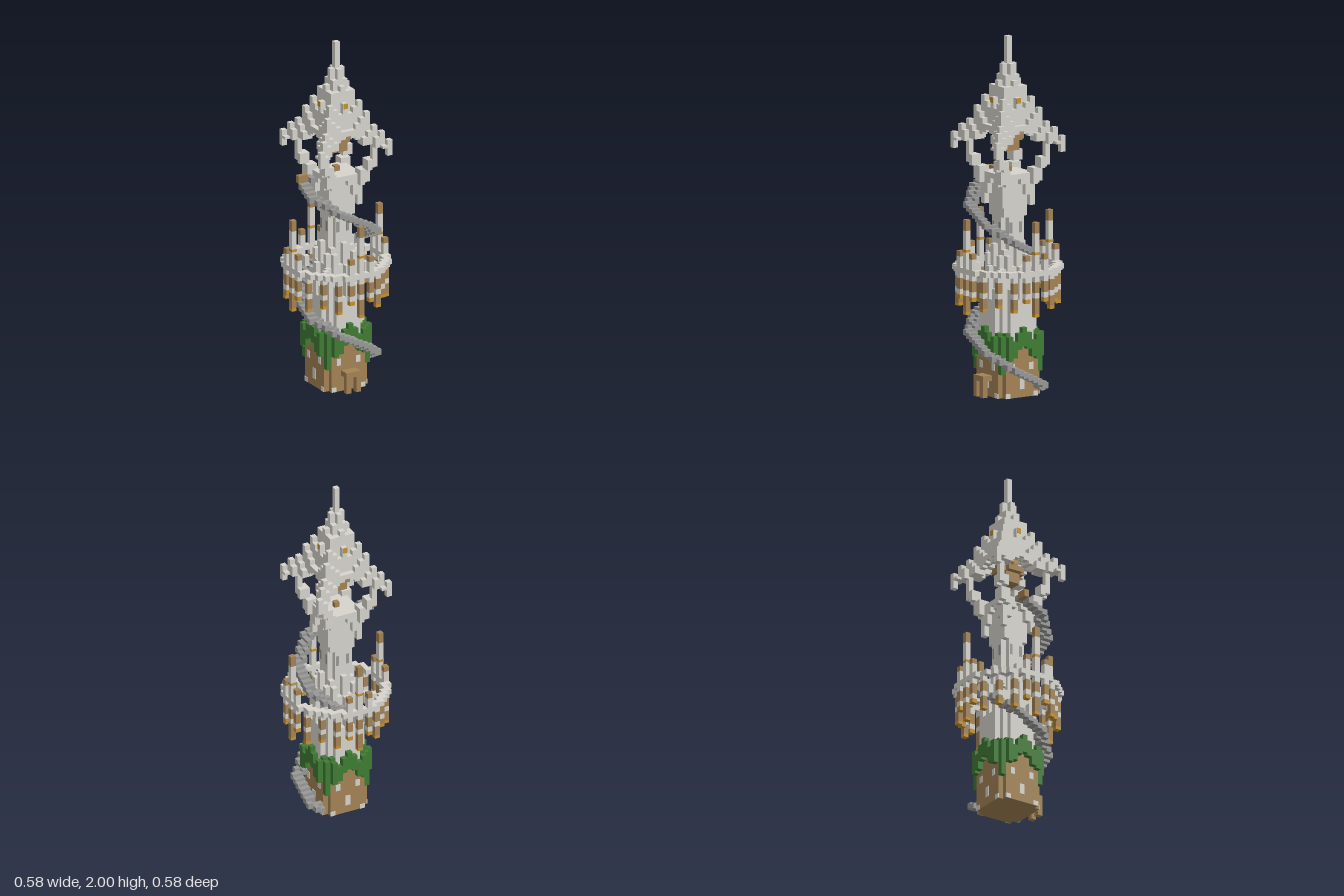
import * as THREE from 'three';
import { mergeGeometries } from 'three/addons/utils/BufferGeometryUtils.js';

const V = 2 / 66; // edge of one block

export function createModel() {
  const group = new THREE.Group();
  const mat = (name, color) => {
    const m = new THREE.MeshStandardMaterial({ color });
    m.name = name;
    return m;
  };
  const mats = {
    stone: mat('pale stone', 0xd5d3cc),
    step: mat('grey stone', 0x979796),
    leaf: mat('leaf green', 0x3f7b33),
    wood: mat('wood brown', 0xa28254),
    gold: mat('lantern gold', 0xc4902f),
  };

  // Boxes are collected per part and colour, then merged into one mesh each
  const parts = {};
  const box = (part, m, x, z, y0, y1, w = 1, d = 1) => {
    const g = new THREE.BoxGeometry(w * V, (y1 - y0) * V, d * V);
    g.translate(x * V, ((y0 + y1) / 2) * V, z * V);
    const key = part + '|' + m;
    (parts[key] = parts[key] || []).push(g);
  };
  // Visit every cell of the plan: a and b are the larger and smaller distances from the axes
  const plan = (fn) => {
    for (let x = -9; x <= 9; x++) for (let z = -9; z <= 9; z++) {
      const ax = Math.abs(x), az = Math.abs(z);
      fn(x, z, Math.max(ax, az), Math.min(ax, az), x * x + z * z);
    }
  };
  // Repeat a placement on the four sides: u runs along the side, v points outward
  const sides = (fn) => {
    for (const [ux, uz, vx, vz] of [[1, 0, 0, 1], [-1, 0, 0, -1], [0, -1, 1, 0], [0, 1, -1, 0]])
      fn((part, m, u, v, y0, y1, w = 1, d = 1) =>
        box(part, m, u * ux + v * vx, u * uz + v * vz, y0, y1, ux ? w : d, ux ? d : w));
  };
  // Hanging post banded in wood and stone with a lantern at its foot
  const pendant = (x, z, end) => {
    box('pendant', 'stone', x, z, 22, 23);
    box('pendant', 'wood', x, z, 20, 22);
    box('pendant', 'stone', x, z, 19, 20);
    if (end < 18) box('pendant', 'wood', x, z, end + 0.6, 19);
    box('pendant', 'gold', x, z, end, end < 18 ? end + 0.6 : 19);
  };

  const leafTop = [13, 12, 10.5, 11.5], leafBottom = [9.5, 9, 7.5, 7];
  const roofTop = [66, 61, 58, 55, 53, 50.5, 49.5, 48];

  plan((x, z, a, b, r2) => {
    // Wooden base
    if (a <= 4 && b < 4) box('base', 'wood', x, z, 0, 10);

    // Foliage collar with ragged top and hanging ends
    if (a === 5 && b <= 3) box('foliage', 'leaf', x, z, leafBottom[b], leafTop[b]);
    if (a === 4 && b === 4) box('foliage', 'leaf', x, z, 4.5, 11.5);
    if (a === 4 && b === 3) box('foliage', 'leaf', x, z, 10, 12);

    // Lower tower with stepped buttresses
    if (r2 <= 20) {
      let top = 24;
      if (a === 4) top = [24, 18, 20][b];
      else if (a === 3) top = [28, 24, 26, 22][b];
      box('lowerTower', 'stone', x, z, 10, top);
    }

    // Slender upper column
    if (r2 <= 5) box('upperColumn', 'stone', x, z, 24, 40);
    if (a === 2 && b === 2) {
      box('upperColumn', 'stone', x, z, 24, 27);
      box('flaredCapital', 'stone', x, z, 33, 40);
    }

    // Flared capital, floor and the four diagonal arms
    if (r2 <= 13) box('platform', 'stone', x, z, 40, 41);
    if (a === 3 && b === 3) box('flaredCapital', 'stone', x, z, 35, 42);
    if (a === 3 && b === 2) box('flaredCapital', 'stone', x, z, 37, 40);
    if (a === 3 && b === 1) box('flaredCapital', 'stone', x, z, 39, 40);
    if (a === 4 && b === 3) box('flaredCapital', 'stone', x, z, 39, 42);
    if (a === 4 && b === 4) box('canopyArm', 'stone', x, z, 39.5, 44);
    if (a === 5 && b === 4) box('canopyArm', 'stone', x, z, 42, 44);
    if (a === 5 && b === 5) box('canopyArm', 'stone', x, z, 42.5, 48);

    // Hollow pointed roof with an arch on each face and upturned corners
    const inRoof = a <= 4 || (a === 5 && b >= 3) || (a === 6 && b >= 5) || (a === 7 && b >= 6);
    if (inRoof) {
      let top = roofTop[a];
      if (a === b && a > 0 && a < 3) top -= a === 1 ? 2 : 1;
      else if (a !== b && (b > 0 || a === 4)) top -= b === 0 ? 3 : Math.min(3, a - b);
      let bottom = a === 5 ? 47 : 46.5;
      if (a <= 3) bottom = Math.max(49, top - 5);
      if (a === 4) bottom = [49, 48.5, 48, 47, 47][b];
      if (a === 7 && b === 7) bottom = 45;
      box('roof', 'stone', x, z, bottom, top);
    }

    // Balcony ring and its hanging pendants
    if (r2 > 71 && r2 < 92) {
      box('balconyRing', 'stone', x, z, 23, 24);
      if (a === 9 && b === 0) pendant(x, z, 15.5);
      if (a === 9 && b === 2) pendant(x, z, 18.2);
      if (a === 8 && b === 4) pendant(x, z, 16.5);
      if (a === 6) pendant(x, z, 17.3);
    }
    // Diagonal struts carrying the balcony
    if (a === b && (a === 4 || a === 5)) box('balconyStrut', 'stone', x, z, 22, 24);

    // Hanging lantern
    if (a <= 2 && b === 0) box('lantern', 'wood', x, z, 47, 48.5);
    if (a <= 1) box('lantern', 'wood', x, z, 45, 47);
  });
  box('lanternRod', 'wood', 0, 0, 48.5, 62, 0.6, 0.6);
  box('platformOrb', 'wood', 0, 0, 41, 42);

  sides((put) => {
    // Lantern arms reaching the arches
    for (const s of [-1, 1]) put('lantern', 'wood', s * 2, 1, 47, 48);
    put('lanternFinial', 'gold', 0, 2, 48.5, 49, 0.8, 0.8);

    // Pinnacles on the balcony
    put('pinnacle', 'stone', 0, 9, 24, 31);
    put('pinnacle', 'wood', 0, 9, 31, 33);
    put('pinnacleBand', 'gold', 0, 9, 27, 27.5, 1.05, 1.05);
    for (const s of [-1, 1]) {
      put('pinnacle', 'stone', s * 2, 9, 24, 26);
      put('pinnacle', 'wood', s * 2, 9, 26, 27);
      put('baseOrnament', 'stone', s * 2, 4.5, 5, 6.3, 0.9, 0.2);
      put('baseOrnament', 'stone', s * 3, 4.5, 0, 0.9, 1, 0.2);
      put('columnWindow', 'step', s, 2.5, 30, 32, 0.6, 0.1);
    }
    put('baseOrnament', 'stone', 0, 4.5, 1.5, 3.5, 1, 0.2);
    // Gem on each roof face
    put('roofGem', 'gold', 0, 3.5, 54, 55, 0.9, 0.2);
  });

  // Porch at the front
  for (const s of [-1, 1]) box('porch', 'wood', s, 6, 0, 3);
  box('porch', 'wood', 0, 5.5, 3, 4, 3, 2);

  // Spiral stair: one and a half turns, risen in half blocks
  plan((x, z, a, b, r2) => {
    const r = Math.sqrt(r2);
    if (r < 5.5 || r > 7.65) return;
    const base = (Math.atan2(z, x) * 180) / Math.PI;
    for (let turn = 0; turn < 3; turn++) {
      const angle = base + turn * 360;
      if (angle < -42 || angle > 545) continue;
      const y = Math.max(0.5, Math.round((0.12 + (0.178 * angle) / 90) / V * 2) / 2);
      box('spiralStair', 'step', x, z, y - 0.5, y + 0.6);
    }
  });
  box('stairLanding', 'wood', -6.5, -1, 39.6, 41, 2, 1);
  box('stairLanding', 'step', -5, -0.5, 39.6, 40.6, 1, 2);

  for (const [key, list] of Object.entries(parts)) {
    const [name, m] = key.split('|');
    const mesh = new THREE.Mesh(mergeGeometries(list), mats[m]);
    mesh.name = name;
    group.add(mesh);
  }
  return group;
}
